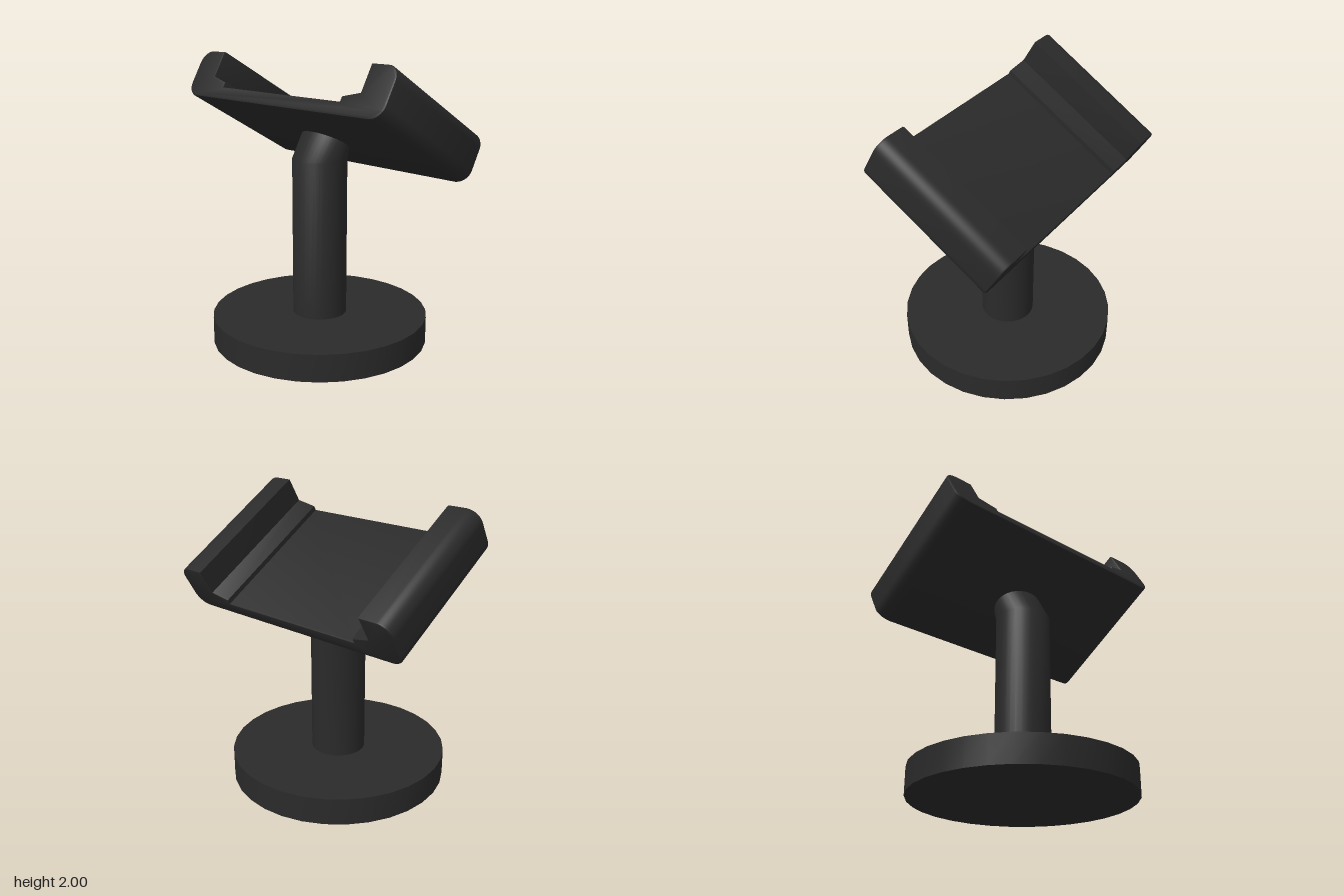
import * as THREE from 'three';
import { toCreasedNormals } from 'three/addons/utils/BufferGeometryUtils.js';

const TILT = Math.PI / 6;
const TRAY_Y = 1.443, TRAY_Z = -0.01; // middle of the tray's underside
const material = new THREE.MeshStandardMaterial({ color: 0x2a2a2a });

function part(name, geometry) {
  const mesh = new THREE.Mesh(toCreasedNormals(geometry, 0.6), material);
  mesh.name = name;
  return mesh;
}

// Post with a top that leans back and is cut flush with the tilted tray
function postGeometry() {
  const r = 0.19;
  const geo = new THREE.CylinderGeometry(r, r, 1, 32, 2);
  const pos = geo.attributes.position;
  for (let i = 0; i < pos.count; i++) {
    const level = pos.getY(i);
    if (level > 0.25) {
      const z = -0.06 + pos.getZ(i) * 0.69;
      pos.setZ(i, z);
      pos.setY(i, TRAY_Y + 0.01 + (z - TRAY_Z) * Math.tan(TILT));
    } else {
      pos.setY(i, level < -0.25 ? 0.18 : 1.3);
    }
  }
  return geo;
}

// Cross-section of the tray: thin floor, sloped ledges, tall rounded arms
function trayGeometry() {
  const w = 0.91, h = 0.35, r = 0.1, depth = 1.02, bevel = 0.012;
  const s = new THREE.Shape();
  s.moveTo(-w + r, 0);
  s.lineTo(w - r, 0);
  s.absarc(w - r, r, r, -Math.PI / 2, 0);
  s.absarc(w - r, h - r, r, 0, Math.PI / 2);
  const inner = [[0.685, h], [0.685, 0.16], [0.55, 0.125], [0.55, 0.09]];
  inner.forEach(([x, y]) => s.lineTo(x, y));
  inner.slice().reverse().forEach(([x, y]) => s.lineTo(-x, y));
  s.absarc(-w + r, h - r, r, Math.PI / 2, Math.PI);
  s.absarc(-w + r, r, r, Math.PI, Math.PI * 1.5);
  const geo = new THREE.ExtrudeGeometry(s, {
    depth: depth - 2 * bevel, curveSegments: 8, bevelEnabled: true,
    bevelThickness: bevel, bevelSize: bevel, bevelOffset: -bevel, bevelSegments: 2,
  });
  return geo.translate(0, 0, -depth / 2 + bevel);
}

export function createModel() {
  const group = new THREE.Group();
  group.name = 'tiltedStand';

  // Round foot
  const base = part('base', new THREE.CylinderGeometry(0.76, 0.76, 0.19, 32));
  base.position.y = 0.095;

  // Holder tilted up towards the front
  const tray = part('tray', trayGeometry());
  tray.position.set(0, TRAY_Y, TRAY_Z);
  tray.rotation.x = -TILT;

  group.add(base, part('post', postGeometry()), tray);
  return group;
}
